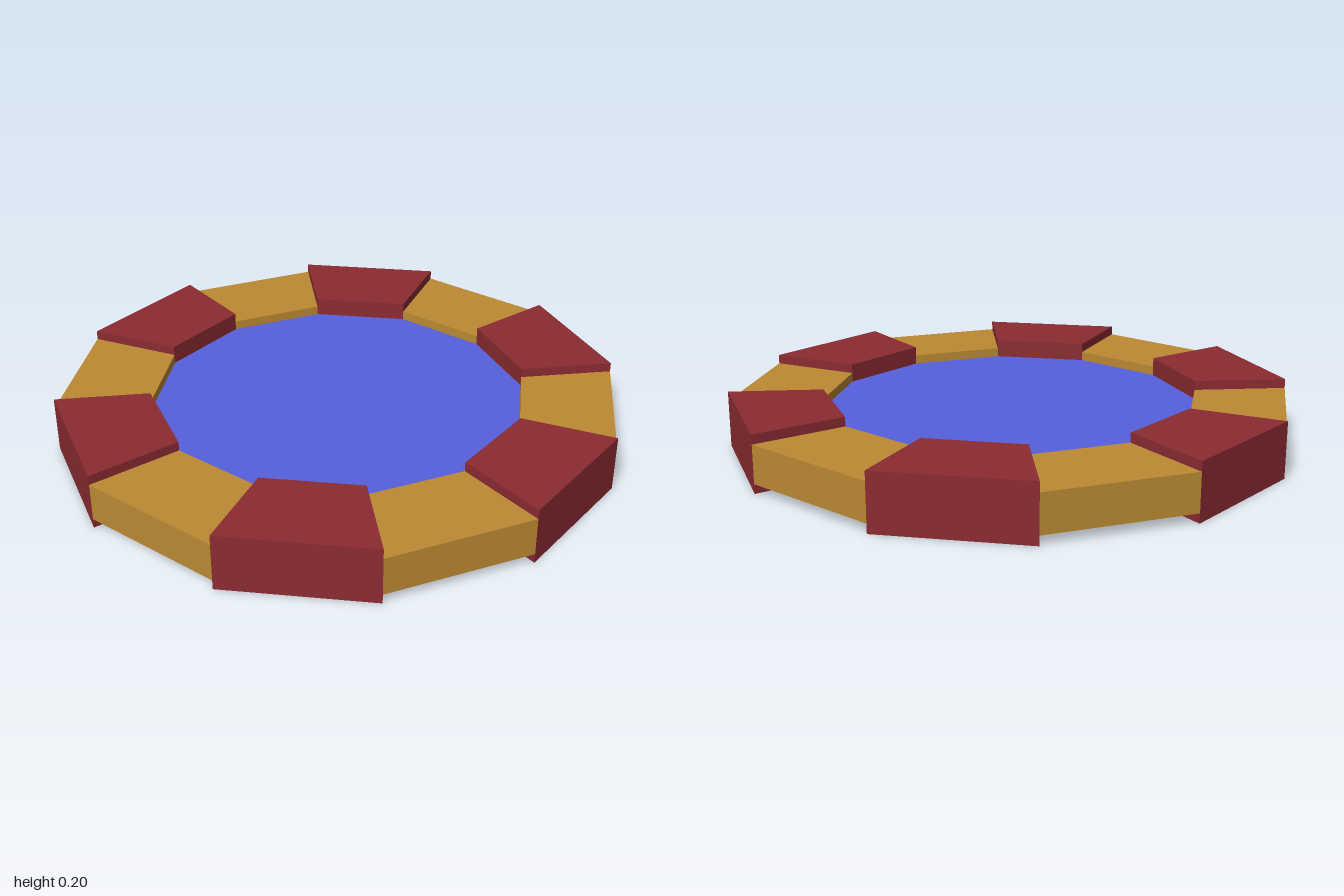
import * as THREE from 'three';

const SIDES = 12, OUTER = 1, INNER = 2 / 3, MID = 0.1;
const STEP = (Math.PI * 2) / SIDES;

const material = (color) => new THREE.MeshStandardMaterial({ color, flatShading: true });
const corner = (radius, i) =>
  new THREE.Vector2(radius * Math.cos(i * STEP), radius * Math.sin(i * STEP));

// Flat outline extruded upward, centred on the ring's mid height
function slab(name, points, height, mat) {
  const geometry = new THREE.ExtrudeGeometry(new THREE.Shape(points), {
    depth: height, bevelEnabled: false,
  });
  geometry.rotateX(-Math.PI / 2);
  geometry.translate(0, MID - height / 2, 0);
  const mesh = new THREE.Mesh(geometry, mat);
  mesh.name = name;
  return mesh;
}

export function createModel() {
  const model = new THREE.Group();
  model.name = 'segmentedDisc';
  const red = material(0x8b2b32);
  const gold = material(0xbb8933);
  const blue = material(0x5760dd);

  // Rim of alternating thick red and thinner gold segments
  const rim = new THREE.Group();
  rim.name = 'rim';
  for (let i = 0; i < SIDES; i++) {
    const outline = [corner(INNER, i), corner(OUTER, i), corner(OUTER, i + 1), corner(INNER, i + 1)];
    rim.add(i % 2 === 0
      ? slab('thickRimSegment', outline, 0.2, red)
      : slab('thinRimSegment', outline, 0.4 / 3, gold));
  }
  model.add(rim);

  // Recessed twelve-sided centre plate
  const plate = Array.from({ length: SIDES }, (_, i) => corner(INNER, i));
  model.add(slab('centrePlate', plate, 0.2 / 3, blue));

  return model;
}
